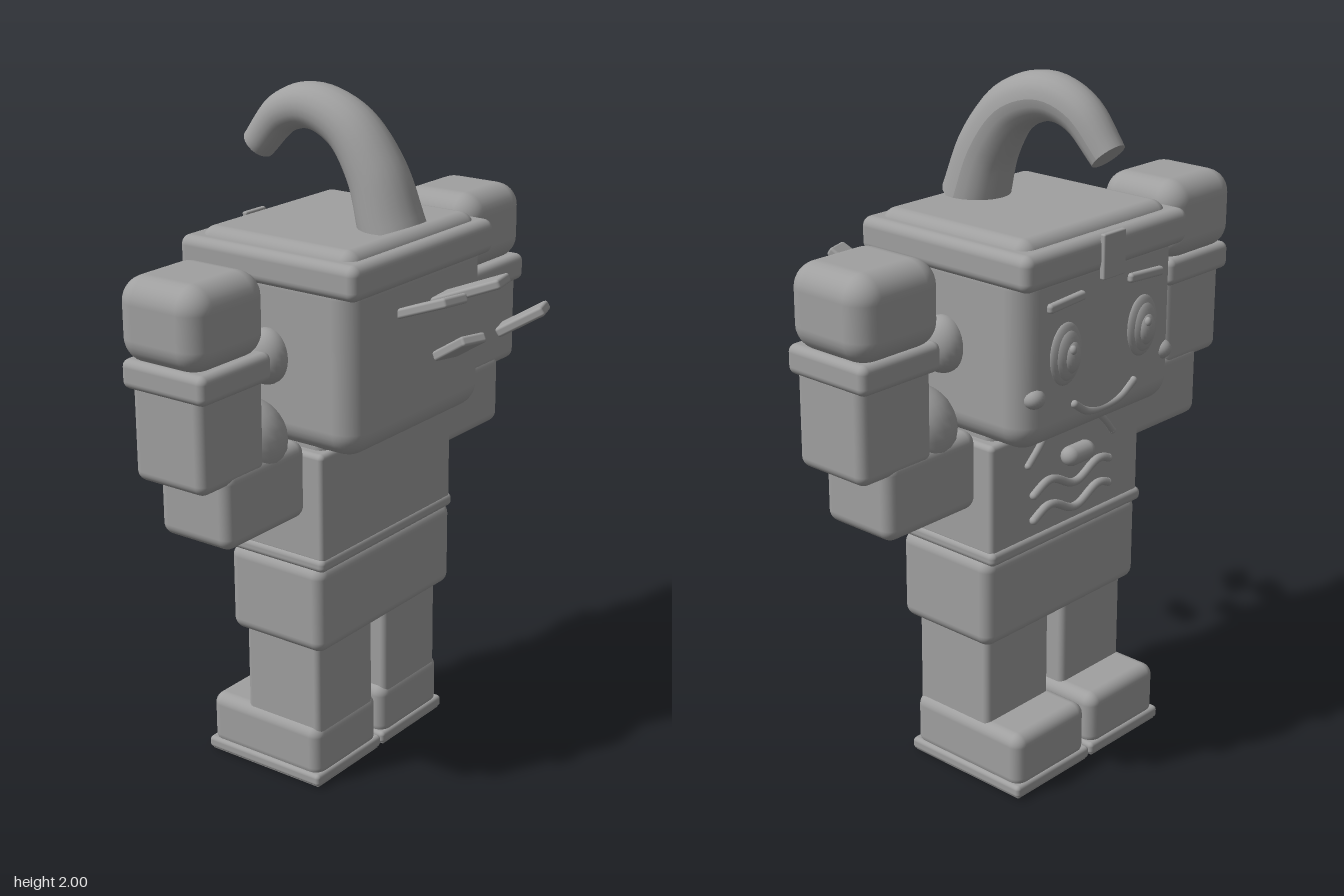
import * as THREE from 'three';
import { RoundedBoxGeometry } from 'three/addons/geometries/RoundedBoxGeometry.js';

const grey = new THREE.MeshStandardMaterial({ color: 0xa0a0a0 });
grey.name = 'plain grey';

export function createModel() {
  const model = new THREE.Group();
  model.name = 'toyFigure';

  function add(name, geometry, x = 0, y = 0, z = 0) {
    const mesh = new THREE.Mesh(geometry, grey);
    mesh.name = name;
    mesh.position.set(x, y, z);
    model.add(mesh);
    return mesh;
  }
  // Rounded block given by its limits on each axis
  function block(name, [x0, x1], [y0, y1], [z0, z1], r) {
    const g = new RoundedBoxGeometry(x1 - x0, y1 - y0, z1 - z0, 4, r);
    return add(name, g, (x0 + x1) / 2, (y0 + y1) / 2, (z0 + z1) / 2);
  }
  // The same block on the side s (1 or -1)
  function sideBlock(s, name, [x0, x1], y, z, r) {
    return block(name, s > 0 ? [x0, x1] : [-x1, -x0], y, z, r);
  }
  function ball(name, x, y, z, rx, ry, rz) {
    const mesh = add(name, new THREE.SphereGeometry(1, 24, 16), x, y, z);
    mesh.scale.set(rx, ry, rz);
    return mesh;
  }
  // Round cord through points, closed by a ball at each end
  function cord(name, points, r) {
    const pts = points.map(p => new THREE.Vector3(...p));
    add(name, new THREE.TubeGeometry(new THREE.CatmullRomCurve3(pts), 32, r, 8));
    for (const p of [points[0], points[points.length - 1]]) ball(name + 'End', ...p, r, r, r);
  }
  // Flat strip running from a to b
  function strip(name, a, b, width, thick) {
    const from = new THREE.Vector3(...a), to = new THREE.Vector3(...b);
    const mid = from.clone().add(to).multiplyScalar(0.5);
    const g = new RoundedBoxGeometry(width, thick, from.distanceTo(to), 2, 0.008);
    add(name, g, mid.x, mid.y, mid.z).lookAt(to);
  }

  // Trunk
  block('hips', [-0.325, 0.325], [0.44, 0.705], [-0.285, 0.05], 0.035);
  block('belt', [-0.322, 0.322], [0.695, 0.735], [-0.3, 0.055], 0.016);
  block('torso', [-0.315, 0.315], [0.72, 1.045], [-0.29, 0.05], 0.015);
  block('collar', [-0.285, 0.285], [1.0, 1.085], [-0.265, 0.03], 0.03);

  // Head and hat
  block('head', [-0.32, 0.32], [1.045, 1.57], [-0.41, 0.165], 0.075);
  block('hatBrim', [-0.335, 0.335], [1.5, 1.6], [-0.43, 0.18], 0.028);
  block('hatTop', [-0.3, 0.3], [1.53, 1.624], [-0.39, 0.145], 0.042);
  block('hatBadge', [-0.045, 0.045], [1.48, 1.605], [-0.441, -0.424], 0.005);

  // Curved plume: a tube narrowed along its length
  const plumePath = new THREE.CatmullRomCurve3([
    [1.615, 0.06], [1.77, 0.005], [1.885, -0.085], [1.93, -0.21], [1.9, -0.315], [1.8, -0.41],
  ].map(([y, z]) => new THREE.Vector3(0, y, z)));
  const rings = 32, sides = 20;
  const plume = new THREE.TubeGeometry(plumePath, rings, 1, sides);
  const pos = plume.attributes.position, v = new THREE.Vector3();
  for (let i = 0; i < pos.count; i++) {
    const t = Math.floor(i / (sides + 1)) / rings;
    const c = plumePath.getPointAt(t);
    v.fromBufferAttribute(pos, i).sub(c).multiplyScalar(0.096 - 0.046 * t).add(c);
    pos.setXYZ(i, v.x, v.y, v.z);
  }
  plume.computeVertexNormals();
  add('plume', plume);
  [0, 1].forEach(t => {
    const p = plumePath.getPointAt(t);
    const out = plumePath.getTangentAt(t).multiplyScalar(t ? 1 : -1);
    add('plumeCap', new THREE.CircleGeometry(0.096 - 0.046 * t, sides), p.x, p.y, p.z).lookAt(p.add(out));
  });

  for (const s of [1, -1]) {
    // Legs and shoes
    sideBlock(s, 'leg', [0.03, 0.293], [0.15, 0.47], [-0.255, 0.015], 0.02);
    sideBlock(s, 'shoe', [0.012, 0.308], [0.02, 0.188], [-0.385, 0.02], 0.035);
    sideBlock(s, 'sole', [0.004, 0.316], [0.005, 0.042], [-0.392, 0.026], 0.012);
    sideBlock(s, 'solePad', [0.012, 0.308], [0, 0.02], [-0.385, 0.02], 0.005);

    // Raised arms
    sideBlock(s, 'upperArm', [0.318, 0.655], [0.86, 1.085], [-0.245, 0.003], 0.035);
    ball('elbow', s * 0.45, 1.1, -0.12, 0.122, 0.122, 0.13);
    sideBlock(s, 'forearm', [0.488, 0.745], [1.045, 1.33], [-0.245, 0], 0.03);
    sideBlock(s, 'cuff', [0.475, 0.757], [1.3, 1.382], [-0.267, 0.018], 0.022);
    sideBlock(s, 'fist', [0.468, 0.766], [1.37, 1.605], [-0.278, 0.01], 0.07);

    // Ears, cheeks, eyes and brows
    ball('ear', s * 0.33, 1.305, -0.125, 0.06, 0.08, 0.068);
    ball('cheek', s * 0.268, 1.2, -0.395, 0.032, 0.028, 0.03);
    ball('eyeRim', s * 0.16, 1.3, -0.408, 0.064, 0.088, 0.022);
    ball('eyeWhite', s * 0.16, 1.298, -0.415, 0.05, 0.072, 0.024);
    ball('iris', s * 0.157, 1.295, -0.425, 0.032, 0.047, 0.024);
    ball('eyeGlint', s * 0.157 + 0.01, 1.32, -0.442, 0.01, 0.013, 0.01);
    const brow = block('brow', [s * 0.165 - 0.072, s * 0.165 + 0.072], [1.432, 1.458], [-0.425, -0.4], 0.009);
    brow.rotation.z = -s * 0.06;

    // Headband tails, in two pieces
    strip('tailInner', [s * 0.075, 1.415, 0.15], [s * 0.118, 1.495, 0.352], 0.088, 0.028);
    strip('tailOuter', [s * 0.136, 1.345, 0.328], [s * 0.177, 1.422, 0.45], 0.08, 0.028);

    // Neck cords
    cord('neckCord', [[s * 0.1, 1.04, -0.3], [s * 0.14, 1.0, -0.304], [s * 0.18, 0.955, -0.3]], 0.01);
  }

  // Smile
  cord('mouth', [[-0.125, 1.15, -0.414], [-0.07, 1.115, -0.41], [0, 1.102, -0.402],
    [0.07, 1.115, -0.41], [0.125, 1.15, -0.414]], 0.011);

  // Chest button and wavy cords
  const button = add('chestButton', new THREE.CapsuleGeometry(0.029, 0.06, 6, 16), 0, 0.947, -0.325);
  button.rotation.z = Math.PI / 2;
  for (const y of [0.87, 0.795]) {
    const wave = [];
    for (let i = 0; i <= 12; i++) {
      const t = i / 12;
      wave.push([0.16 - 0.32 * t, y + 0.02 * Math.sin(t * Math.PI * 3 - 0.4), -0.304]);
    }
    cord('chestWave', wave, 0.012);
  }
  return model;
}
